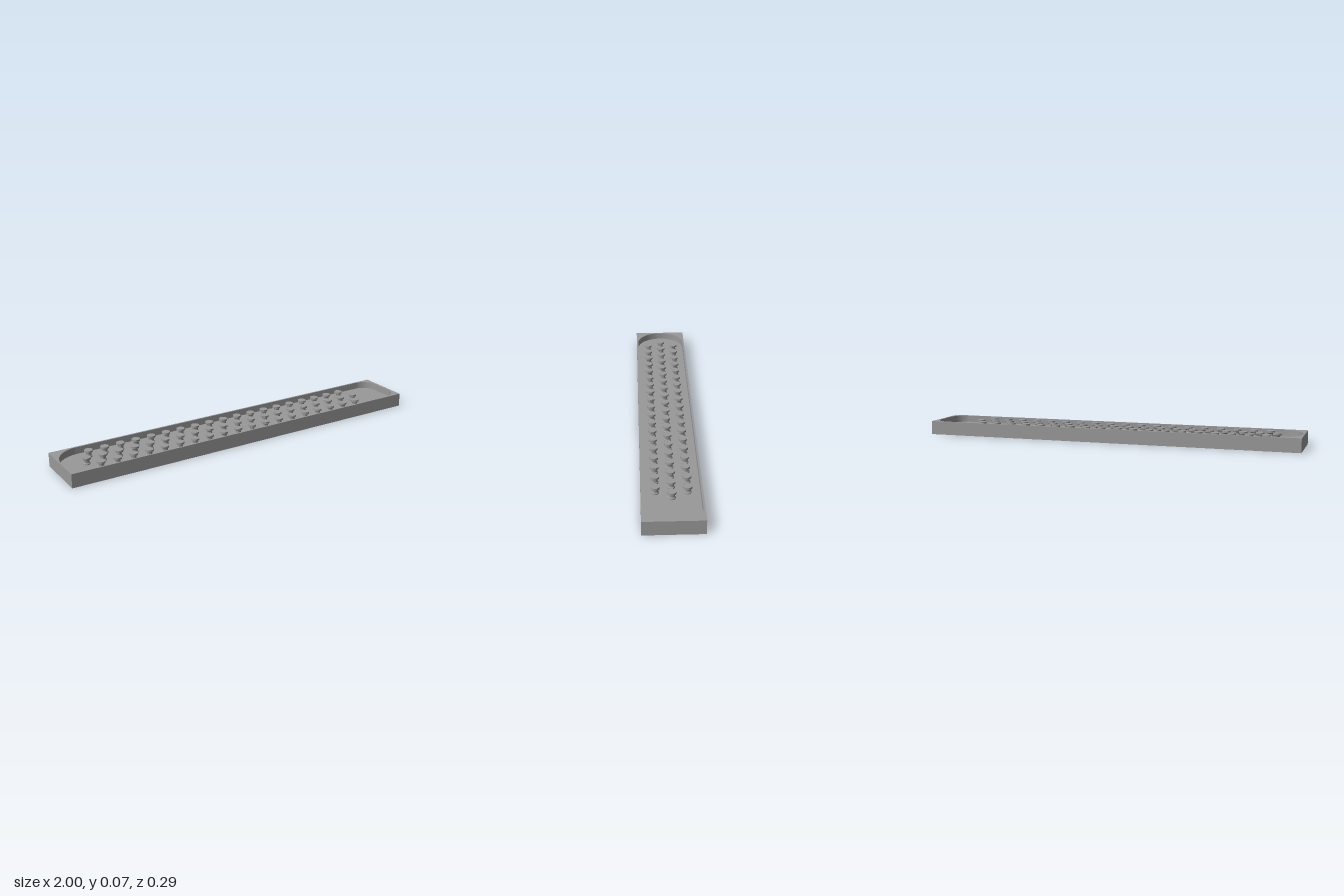
import * as THREE from 'three';
import { toCreasedNormals } from 'three/addons/utils/BufferGeometryUtils.js';

const W = 1, D = 0.143, H = 0.072, FLOOR = 0.036;

// Recess outline: full round at -x, small rounded corners at +x
function recessOutline(Type) {
  const r = 0.134, x0 = -0.992, x1 = 0.987, c = 0.08;
  const s = new Type();
  s.moveTo(x0 + r, -r);
  s.lineTo(x1 - c, -r);
  s.absarc(x1 - c, -r + c, c, -Math.PI / 2, 0, false);
  s.lineTo(x1, r - c);
  s.absarc(x1 - c, r - c, c, 0, Math.PI / 2, false);
  s.lineTo(x0 + r, r);
  s.absarc(x0 + r, 0, r, Math.PI / 2, Math.PI * 1.5, false);
  return s;
}

// Extrude an outline upward from y = 0
function slab(shape, height) {
  const g = new THREE.ExtrudeGeometry(shape, { depth: height, bevelEnabled: false, curveSegments: 24 });
  g.rotateX(-Math.PI / 2);
  return toCreasedNormals(g, 0.6);
}

export function createModel() {
  const model = new THREE.Group();
  model.name = 'peggedTray';
  const grey = new THREE.MeshStandardMaterial({ color: 0x999999 });
  grey.name = 'grey';

  const add = (parent, geometry, name) => {
    const mesh = new THREE.Mesh(geometry, grey);
    mesh.name = name;
    parent.add(mesh);
    return mesh;
  };

  // Outer block with the recess cut out
  const block = new THREE.Shape([
    new THREE.Vector2(-W, -D), new THREE.Vector2(W, -D),
    new THREE.Vector2(W, D), new THREE.Vector2(-W, D),
  ]);
  block.holes.push(recessOutline(THREE.Path));
  add(model, slab(block, H), 'trayRim');

  // Floor of the recess
  add(model, slab(recessOutline(THREE.Shape), FLOOR), 'trayFloor');

  // Waisted pegs with a wider cap
  const profile = [
    [0.018, FLOOR], [0.018, 0.041], [0.014, 0.046], [0.014, 0.057],
    [0.0214, 0.062], [0.0214, H], [0, H],
  ].map(([r, y]) => new THREE.Vector2(r, y));
  const pegGeometry = toCreasedNormals(new THREE.LatheGeometry(profile, 24), 0.5);

  // Three staggered rows
  const pitch = 0.0859;
  const rows = [
    { name: 'backPegRow', z: -0.075, x: -0.82, count: 19 },
    { name: 'middlePegRow', z: 0, x: -0.863, count: 20 },
    { name: 'frontPegRow', z: 0.075, x: -0.82, count: 19 },
  ];
  for (const { name, z, x, count } of rows) {
    const row = new THREE.Group();
    row.name = name;
    for (let i = 0; i < count; i++) add(row, pegGeometry, 'peg').position.set(x + i * pitch, 0, z);
    model.add(row);
  }
  return model;
}
